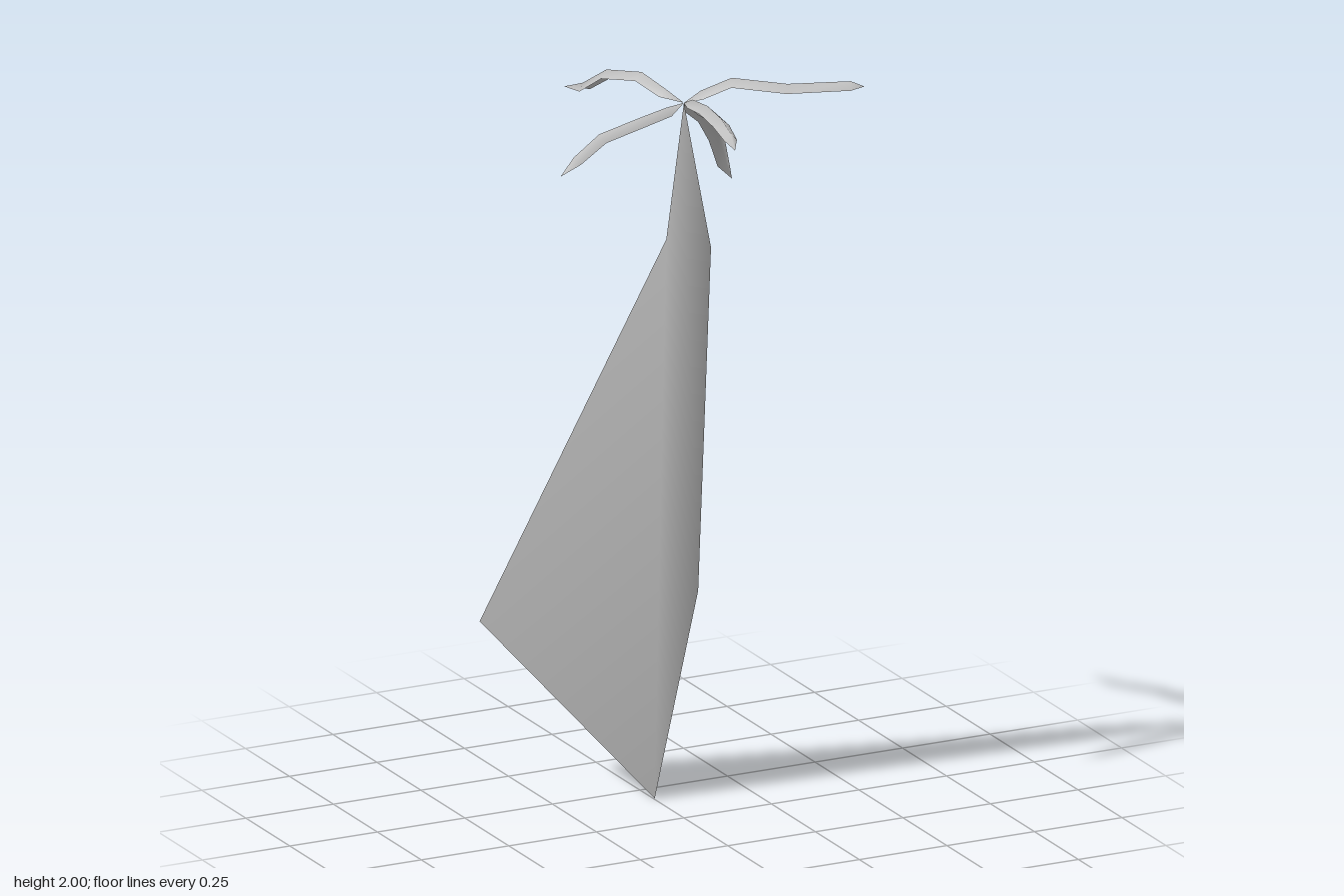
import * as THREE from 'three';

const grey = new THREE.MeshStandardMaterial({ color: 0xc0c0c0, side: THREE.DoubleSide });
grey.name = 'pale grey';

// Folded sheet from rows of [left edge, ridge, right edge], closed to a point at both ends
function foldedSheet(start, rows, end) {
  const points = [start, ...rows.flat(), end];
  const last = points.length - 1;
  const index = [0, 1, 2, 0, 2, 3];
  for (let r = 0; r < rows.length - 1; r++) {
    const a = 1 + r * 3, b = a + 3;
    index.push(a, b, b + 1, a, b + 1, a + 1);
    index.push(a + 1, b + 1, b + 2, a + 1, b + 2, a + 2);
  }
  index.push(last - 3, last, last - 2, last - 2, last, last - 1);
  const geometry = new THREE.BufferGeometry();
  geometry.setAttribute('position', new THREE.Float32BufferAttribute(points.flatMap((p) => p.toArray()), 3));
  geometry.setIndex(index);
  geometry.computeVertexNormals();
  return geometry;
}

// Narrow arm with a raised ridge, following a path of points
function armGeometry(path) {
  const widths = [0, 0.017, 0.021, 0.022, 0.017, 0];
  const pts = path.map((p) => new THREE.Vector3(...p));
  const rows = [];
  for (let i = 1; i < pts.length - 1; i++) {
    const along = pts[i + 1].clone().sub(pts[i - 1]).normalize();
    const side = new THREE.Vector3(along.z, 0, -along.x).normalize();
    const up = new THREE.Vector3().crossVectors(along, side).normalize();
    const edge = (s) => pts[i].clone().addScaledVector(side, s * widths[i]).addScaledVector(up, -0.01);
    rows.push([edge(-1), pts[i].clone().addScaledVector(up, 0.01), edge(1)]);
  }
  return foldedSheet(pts[0], rows, pts[pts.length - 1]);
}

export function createModel() {
  const model = new THREE.Group();
  const add = (name, geometry) => {
    const mesh = new THREE.Mesh(geometry, grey);
    mesh.name = name;
    model.add(mesh);
  };
  const v = (x, y, z) => new THREE.Vector3(x, y, z);

  // Long hanging blade, folded along its middle
  add('hangingBlade', foldedSheet(v(0, 1.925, 0), [
    [v(0.01, 1.52, -0.12), v(0.028, 1.5, -0.038), v(0.096, 1.51, -0.037)],
    [v(-0.36, 0.45, -0.445), v(-0.01, 0.6, -0.122), v(0.102, 0.56, -0.122)],
  ], v(0.003, 0, -0.172)));

  // Five arms spreading from the top of the blade
  const arms = {
    backArm: [[0, 1.925, 0], [-0.025, 1.94, -0.06], [-0.045, 1.96, -0.15], [-0.068, 1.925, -0.3], [-0.085, 1.862, -0.4], [-0.1, 1.84, -0.482]],
    frontArm: [[0, 1.925, 0], [-0.004, 1.942, 0.06], [-0.018, 1.96, 0.17], [-0.045, 1.97, 0.3], [-0.078, 1.972, 0.42], [-0.095, 1.955, 0.48]],
    rightArm: [[0, 1.925, 0], [-0.05, 1.912, 0.005], [-0.13, 1.905, 0.025], [-0.27, 1.89, 0.06], [-0.355, 1.85, 0.088], [-0.4, 1.815, 0.095]],
    backLeftArm: [[0, 1.925, 0], [0.035, 1.895, -0.025], [0.1, 1.845, -0.07], [0.165, 1.765, -0.135], [0.215, 1.67, -0.195], [0.245, 1.62, -0.215]],
    frontLeftArm: [[0, 1.925, 0], [0.04, 1.95, 0.025], [0.1, 1.99, 0.075], [0.22, 1.978, 0.15], [0.365, 1.985, 0.222], [0.4, 1.978, 0.23]],
  };
  for (const [name, path] of Object.entries(arms)) add(name, armGeometry(path));
  return model;
}
